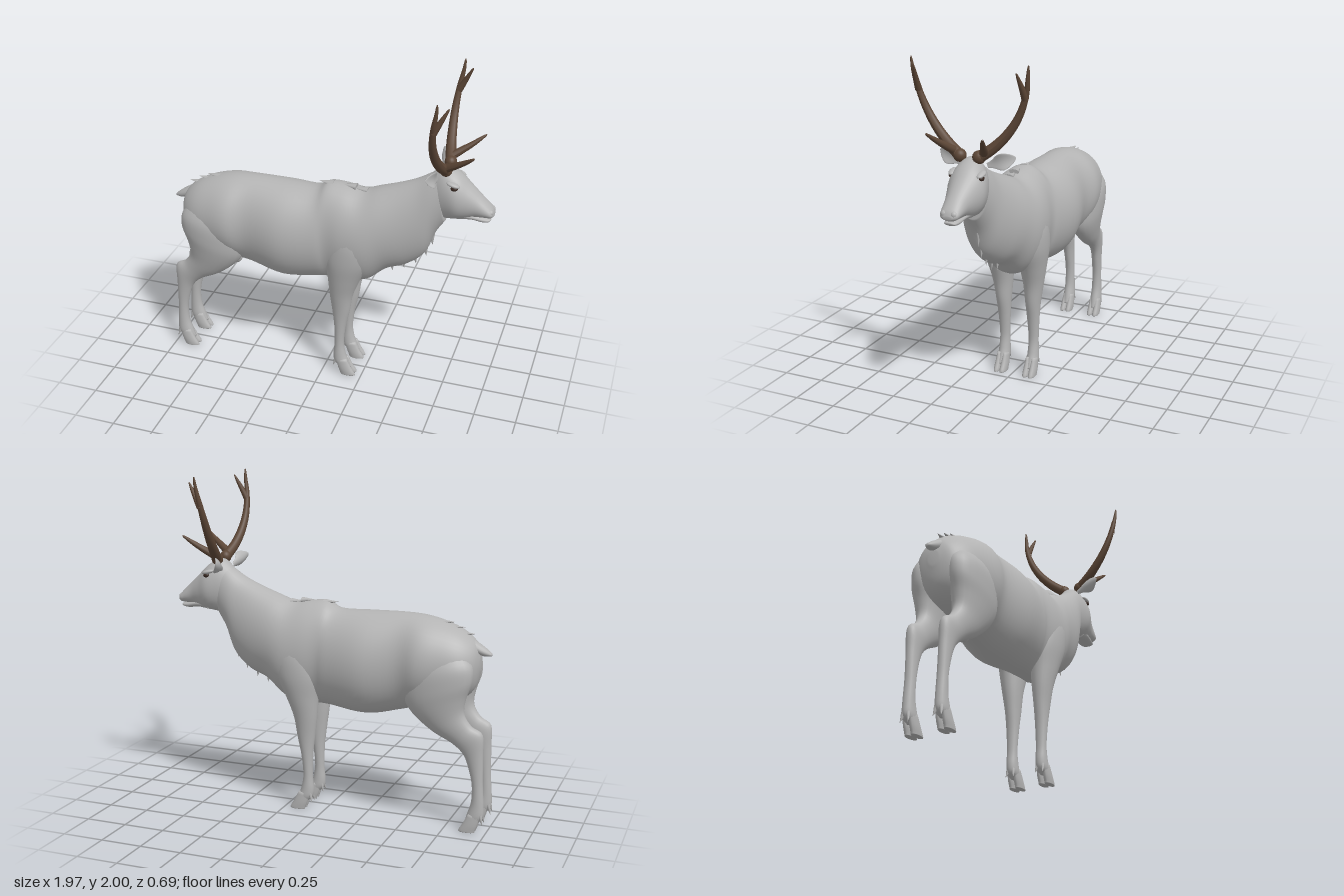
import * as THREE from 'three';

const coat = new THREE.MeshStandardMaterial({ color: 0xb4b4b4 });
coat.name = 'grey coat';
const horn = new THREE.MeshStandardMaterial({ color: 0x5c4636 });
horn.name = 'brown antler';
const dark = new THREE.MeshStandardMaterial({ color: 0x3a2b24 });
dark.name = 'dark eye';

// Catmull-Rom between four numbers
function spline(a, b, c, d, t) {
  return b + 0.5 * t * (c - a + t * (2 * a - 5 * b + 4 * c - d + t * (3 * (b - c) + d - a)));
}

// Skin over elliptical rings. Row: [x, y of upper edge, x, y of lower edge, centre z, half width]
function loft(rows, seg = 24, sub = 5) {
  const rings = [];
  const last = rows.length - 1;
  for (let i = 0; i < last; i++) {
    for (let k = 0; k < sub; k++) {
      rings.push(rows[i].map((v, n) =>
        spline(rows[Math.max(i - 1, 0)][n], v, rows[i + 1][n], rows[Math.min(i + 2, last)][n], k / sub)));
    }
  }
  rings.push(rows[last]);
  const pos = [], index = [];
  for (const [xt, yt, xb, yb, z, w] of rings) {
    for (let j = 0; j < seg; j++) {
      const a = (j / seg) * Math.PI * 2, c = Math.cos(a) / 2;
      pos.push((xt + xb) / 2 + (xt - xb) * c, (yt + yb) / 2 + (yt - yb) * c, z + w * Math.sin(a));
    }
  }
  for (let i = 0; i < rings.length - 1; i++) {
    for (let j = 0; j < seg; j++) {
      const a = i * seg + j, b = i * seg + (j + 1) % seg;
      index.push(a, b, a + seg, b, b + seg, a + seg);
    }
  }
  // end caps
  const end = (rings.length - 1) * seg, mid = pos.length / 3;
  for (const r of [rings[0], rings[rings.length - 1]]) pos.push((r[0] + r[2]) / 2, (r[1] + r[3]) / 2, r[4]);
  for (let j = 0; j < seg; j++) {
    const n = (j + 1) % seg;
    index.push(mid, n, j, mid + 1, end + j, end + n);
  }
  const g = new THREE.BufferGeometry();
  g.setAttribute('position', new THREE.Float32BufferAttribute(pos, 3));
  g.setIndex(index);
  g.computeVertexNormals();
  return g;
}

// Tube that thins towards its tip
function taper(points, r0, r1) {
  const n = 28, seg = 12;
  const path = new THREE.CatmullRomCurve3(points.map(p => new THREE.Vector3(...p)));
  const g = new THREE.TubeGeometry(path, n, 1, seg);
  const p = g.attributes.position, v = new THREE.Vector3();
  for (let i = 0; i <= n; i++) {
    const c = path.getPointAt(i / n);
    const r = r1 + (r0 - r1) * Math.pow(1 - i / n, 0.6);
    for (let j = 0; j <= seg; j++) {
      const k = i * (seg + 1) + j;
      v.fromBufferAttribute(p, k).sub(c).multiplyScalar(r).add(c);
      p.setXYZ(k, v.x, v.y, v.z);
    }
  }
  g.computeVertexNormals();
  return g;
}

function add(parent, name, geometry, material = coat) {
  const m = new THREE.Mesh(geometry, material);
  m.name = name;
  parent.add(m);
  return m;
}

function ball(parent, name, at, size, material = coat) {
  const m = add(parent, name, new THREE.SphereGeometry(1, 20, 14), material);
  m.position.set(...at);
  m.scale.set(...size);
  return m;
}

// Small pointed piece aimed along a direction
function spike(parent, name, at, dir, length, radius, thin = 1) {
  const m = add(parent, name, new THREE.ConeGeometry(radius, length, 10).scale(1, 1, thin));
  m.position.set(...at);
  m.quaternion.setFromUnitVectors(new THREE.Vector3(0, 1, 0), new THREE.Vector3(...dir).normalize());
}

function hoof(parent, x, s, z) {
  for (const side of [-1, 1]) {
    const c = s * z + side * 0.019;
    add(parent, 'hoofToe', loft([
      [x + 0.005, 0.11, x - 0.065, 0.1, c, 0.016],
      [x + 0.035, 0.05, x - 0.05, 0.045, c, 0.021],
      [x + 0.058, 0.012, x - 0.038, 0.012, c, 0.021],
      [x + 0.06, 0, x - 0.035, 0, c, 0.02]], 14, 3));
    spike(parent, 'dewclaw', [x - 0.072, 0.077, c], [-0.35, -1, side * 0.2], 0.06, 0.016);
  }
}

export function createModel() {
  const deer = new THREE.Group();
  deer.name = 'deer';
  const animal = new THREE.Group();
  animal.name = 'animal';
  animal.position.z = -0.01;
  deer.add(animal);

  // Trunk and neck
  add(animal, 'body', loft([
    [-0.92, 1.02, -0.92, 0.94, 0, 0.03], [-0.895, 1.09, -0.89, 0.83, 0, 0.11],
    [-0.82, 1.155, -0.82, 0.76, 0, 0.17], [-0.72, 1.2, -0.7, 0.72, 0, 0.205],
    [-0.6, 1.23, -0.58, 0.7, 0, 0.225], [-0.46, 1.24, -0.46, 0.665, 0, 0.2],
    [-0.25, 1.236, -0.25, 0.62, 0, 0.235], [-0.07, 1.235, -0.03, 0.645, 0, 0.205],
    [0.01, 1.275, 0.05, 0.65, 0, 0.188], [0.11, 1.272, 0.15, 0.65, 0, 0.2],
    [0.22, 1.257, 0.27, 0.68, 0, 0.2], [0.32, 1.29, 0.38, 0.77, 0, 0.178],
    [0.44, 1.335, 0.5, 0.82, 0, 0.15], [0.54, 1.38, 0.6, 0.91, 0, 0.125],
    [0.62, 1.43, 0.655, 1.05, 0, 0.105], [0.68, 1.47, 0.71, 1.14, 0, 0.088]], 40, 5));

  // Head and lower jaw
  add(animal, 'head', loft([
    [0.61, 1.42, 0.65, 1.16, 0, 0.07], [0.69, 1.487, 0.7, 1.16, 0, 0.095],
    [0.77, 1.458, 0.765, 1.168, 0, 0.108], [0.84, 1.395, 0.82, 1.178, 0, 0.088],
    [0.9, 1.338, 0.87, 1.195, 0, 0.069], [0.95, 1.29, 0.925, 1.202, 0, 0.06],
    [0.977, 1.26, 0.968, 1.205, 0, 0.051], [0.988, 1.235, 0.986, 1.215, 0, 0.025]], 30, 5));
  add(animal, 'lowerJaw', loft([
    [0.78, 1.25, 0.78, 1.168, 0, 0.06], [0.87, 1.225, 0.86, 1.18, 0, 0.05],
    [0.93, 1.21, 0.92, 1.172, 0, 0.043], [0.965, 1.2, 0.958, 1.177, 0, 0.033],
    [0.972, 1.195, 0.97, 1.187, 0, 0.015]], 20, 4));

  // Tail, from tip to root
  add(animal, 'tail', loft([
    [-0.982, 1.035, -0.98, 1.02, 0, 0.012], [-0.95, 1.062, -0.94, 1.018, 0, 0.03],
    [-0.9, 1.095, -0.89, 1.03, 0, 0.042], [-0.84, 1.13, -0.84, 1.04, 0, 0.045]], 16, 4));
  ball(animal, 'underbelly', [-0.6, 0.66, 0], [0.04, 0.05, 0.04]);

  // Hair tufts on throat, withers and rump
  for (const [x, y] of [[0.4, 0.78], [0.47, 0.81], [0.54, 0.855], [0.6, 0.92], [0.635, 1.0]]) {
    spike(animal, 'throatTuft', [x, y, 0], [0.15, -1, 0], 0.08, 0.025, 0.5);
  }
  for (const [x, y] of [[-0.01, 1.268], [0.13, 1.27], [0.2, 1.258], [-0.84, 1.14], [-0.78, 1.174], [-0.72, 1.2]]) {
    spike(animal, 'backTuft', [x, y, 0], [-1, 0.06, 0], 0.09, 0.016, 2);
  }

  for (const s of [1, -1]) {
    const side = s > 0 ? 'left' : 'right';
    const legs = new THREE.Group();
    legs.name = side + 'Legs';
    animal.add(legs);

    // Hind leg: front edge, back edge
    add(legs, 'hindLeg', loft([
      [-0.56, 1.06, -0.83, 1.06, s * 0.1, 0.06], [-0.5, 0.92, -0.895, 0.98, s * 0.11, 0.1],
      [-0.5, 0.78, -0.9, 0.89, s * 0.115, 0.1], [-0.55, 0.685, -0.868, 0.79, s * 0.115, 0.085],
      [-0.67, 0.585, -0.858, 0.7, s * 0.112, 0.062], [-0.79, 0.52, -0.9, 0.63, s * 0.107, 0.044],
      [-0.855, 0.46, -0.965, 0.585, s * 0.102, 0.04], [-0.888, 0.38, -0.97, 0.46, s * 0.1, 0.033],
      [-0.91, 0.28, -0.973, 0.29, s * 0.098, 0.03], [-0.908, 0.18, -0.982, 0.16, s * 0.098, 0.032],
      [-0.885, 0.1, -0.98, 0.09, s * 0.098, 0.036], [-0.87, 0.05, -0.945, 0.05, s * 0.098, 0.03]]));
    hoof(legs, -0.902, s, 0.098);

    // Foreleg with shoulder
    add(legs, 'foreleg', loft([
      [0.26, 1.1, 0.1, 1.1, s * 0.1, 0.05], [0.31, 0.98, 0.05, 0.98, s * 0.11, 0.09],
      [0.3, 0.84, 0.02, 0.84, s * 0.11, 0.095], [0.235, 0.7, 0.035, 0.7, s * 0.105, 0.078],
      [0.19, 0.58, 0.045, 0.58, s * 0.1, 0.06], [0.17, 0.46, 0.06, 0.46, s * 0.096, 0.046],
      [0.145, 0.34, 0.073, 0.34, s * 0.095, 0.037], [0.133, 0.22, 0.075, 0.21, s * 0.095, 0.031],
      [0.145, 0.14, 0.068, 0.13, s * 0.095, 0.034], [0.162, 0.09, 0.075, 0.08, s * 0.095, 0.036],
      [0.18, 0.045, 0.11, 0.045, s * 0.095, 0.03]]));
    hoof(legs, 0.153, s, 0.095);

    // Face details
    ball(animal, side + 'Eye', [0.765, 1.392, s * 0.088], [0.021, 0.014, 0.015], dark);
    ball(animal, side + 'Brow', [0.757, 1.412, s * 0.083], [0.04, 0.013, 0.022]).rotation.z = -0.25;
    ball(animal, side + 'Nostril', [0.967, 1.243, s * 0.028], [0.018, 0.02, 0.02]);

    // Leaf-shaped ear, cupped forward
    const leaf = [[0.014, 0], [0.022, 0.03], [0.042, 0.07], [0.044, 0.1], [0.03, 0.135], [0.012, 0.158], [0, 0.165]];
    const ear = new THREE.LatheGeometry(
      new THREE.SplineCurve(leaf.map(p => new THREE.Vector2(...p))).getPoints(18).map(p => p.setX(Math.max(p.x, 0))), 20);
    const p = ear.attributes.position;
    for (let i = 0; i < p.count; i++) {
      p.setX(i, p.getX(i) * 0.28 + p.getZ(i) ** 2 * 12 - 0.005);
    }
    ear.computeVertexNormals();
    const earMesh = add(animal, side + 'Ear', ear);
    earMesh.position.set(0.67, 1.437, s * 0.075);
    earMesh.rotation.set(s * 1.24, 0, 0.2);

    // Antler: burr, main beam, crown tine and brow tine
    const antler = new THREE.Group();
    antler.name = side + 'Antler';
    deer.add(antler);
    ball(antler, 'burr', [0.71, 1.49, s * 0.057], [0.035, 0.037, 0.037], horn);
    add(antler, 'beam', taper([
      [0.71, 1.49, s * 0.06], [0.69, 1.55, s * 0.14], [0.678, 1.63, s * 0.215], [0.675, 1.73, s * 0.277],
      [0.685, 1.85, s * 0.32], [0.7, 1.94, s * 0.335], [0.705, 2, s * 0.341]], 0.032, 0.003), horn);
    add(antler, 'crownTine', taper([
      [0.683, 1.82, s * 0.312], [0.715, 1.88, s * 0.308], [0.76, 1.965, s * 0.297]], 0.02, 0.002), horn);
    add(antler, 'browTine', taper([
      [0.705, 1.51, s * 0.085], [0.76, 1.545, s * 0.11], [0.82, 1.585, s * 0.135], [0.885, 1.635, s * 0.165]],
      0.025, 0.003), horn);
  }
  return deer;
}
